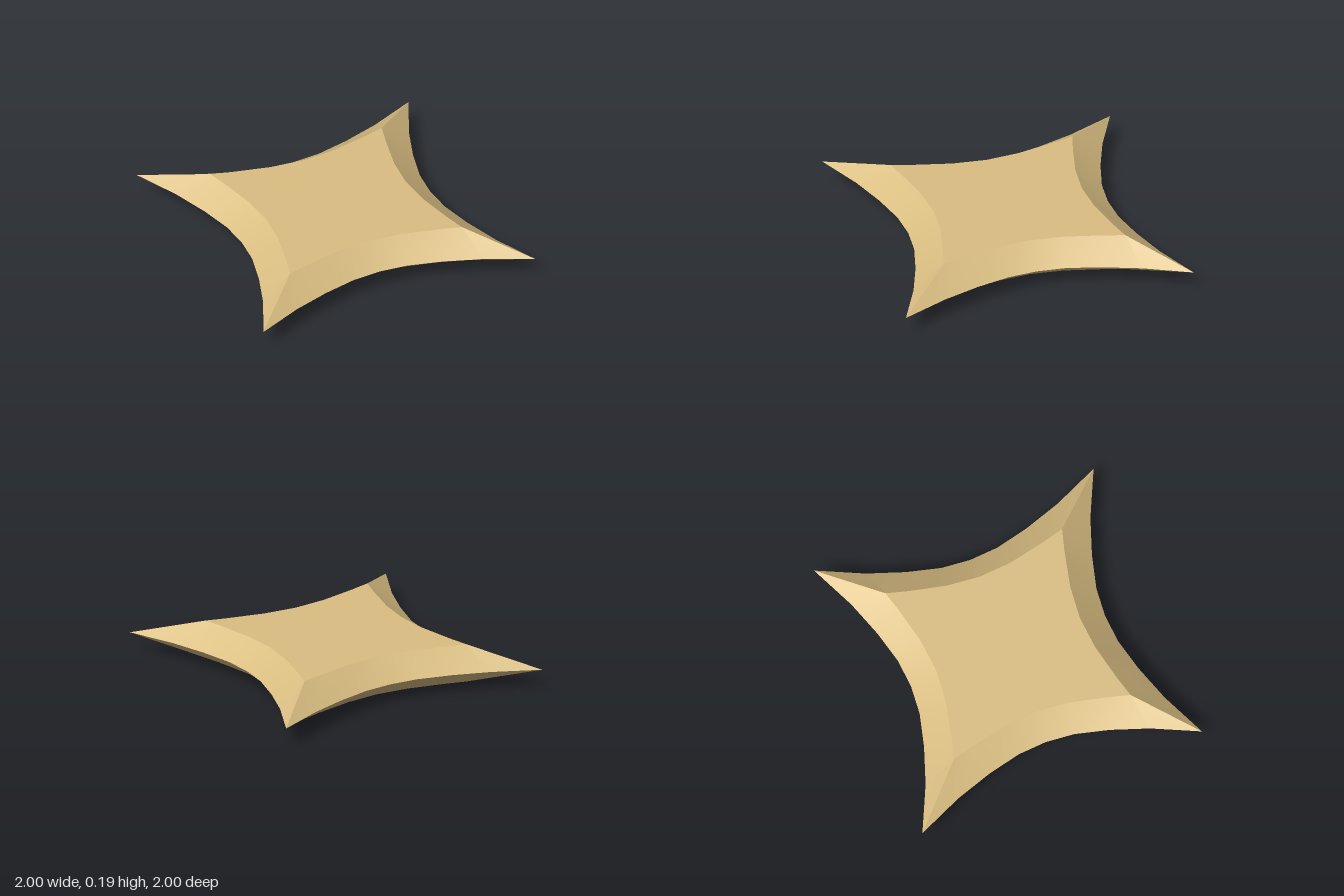
import * as THREE from 'three';

// One quadrant of the star in (x, z), from the +x tip to the +z tip
const halfOuter = [[1, 0], [0.77, 0.085], [0.6, 0.168], [0.455, 0.255]];
const halfInner = [[0.632, 0], [0.632, 0], [0.54, 0.052], [0.381, 0.153]];
const mirrored = (half, mid) => [...half, [mid, mid], ...half.map(([x, z]) => [z, x]).reverse()];
const outer = mirrored(halfOuter, 0.347);
const inner = mirrored(halfInner, 0.257);
const H = 0.095; // half thickness

function indexed(positions, index) {
  const g = new THREE.BufferGeometry();
  g.setAttribute('position', new THREE.Float32BufferAttribute(positions, 3));
  g.setIndex(index);
  g.computeVertexNormals();
  return g;
}

// Concave slope from the sharp rim up to the flat face
function bevelGeometry() {
  const n = outer.length;
  const pos = [...outer.flatMap(([x, z]) => [x, 0, z]), ...inner.flatMap(([x, z]) => [x, H, z])];
  const index = [];
  for (let j = 0; j < n - 1; j++) {
    index.push(j, n + j, j + 1, j + 1, n + j, n + j + 1);
  }
  return indexed(pos, index);
}

// Flat face of one quadrant, as a fan around the centre
function faceGeometry() {
  const pos = [0, H, 0, ...inner.flatMap(([x, z]) => [x, H, z])];
  const index = [];
  for (let j = 1; j < inner.length; j++) index.push(0, j + 1, j);
  return indexed(pos, index);
}

export function createModel() {
  const gold = new THREE.MeshStandardMaterial({ color: 0xdabe82 });
  gold.name = 'pale gold';
  const bevel = bevelGeometry();
  const face = faceGeometry();

  const star = new THREE.Group();
  star.name = 'fourPointStar';
  for (const side of ['top', 'bottom']) {
    const half = new THREE.Group();
    half.name = side + 'Half';
    for (let q = 0; q < 4; q++) {
      for (const [part, geometry] of [['Bevel', bevel], ['Face', face]]) {
        const mesh = new THREE.Mesh(geometry, gold);
        mesh.name = side + part;
        mesh.rotation.y = q * Math.PI / 2;
        half.add(mesh);
      }
    }
    if (side === 'bottom') half.rotation.x = Math.PI;
    half.position.y = H;
    star.add(half);
  }
  return star;
}
